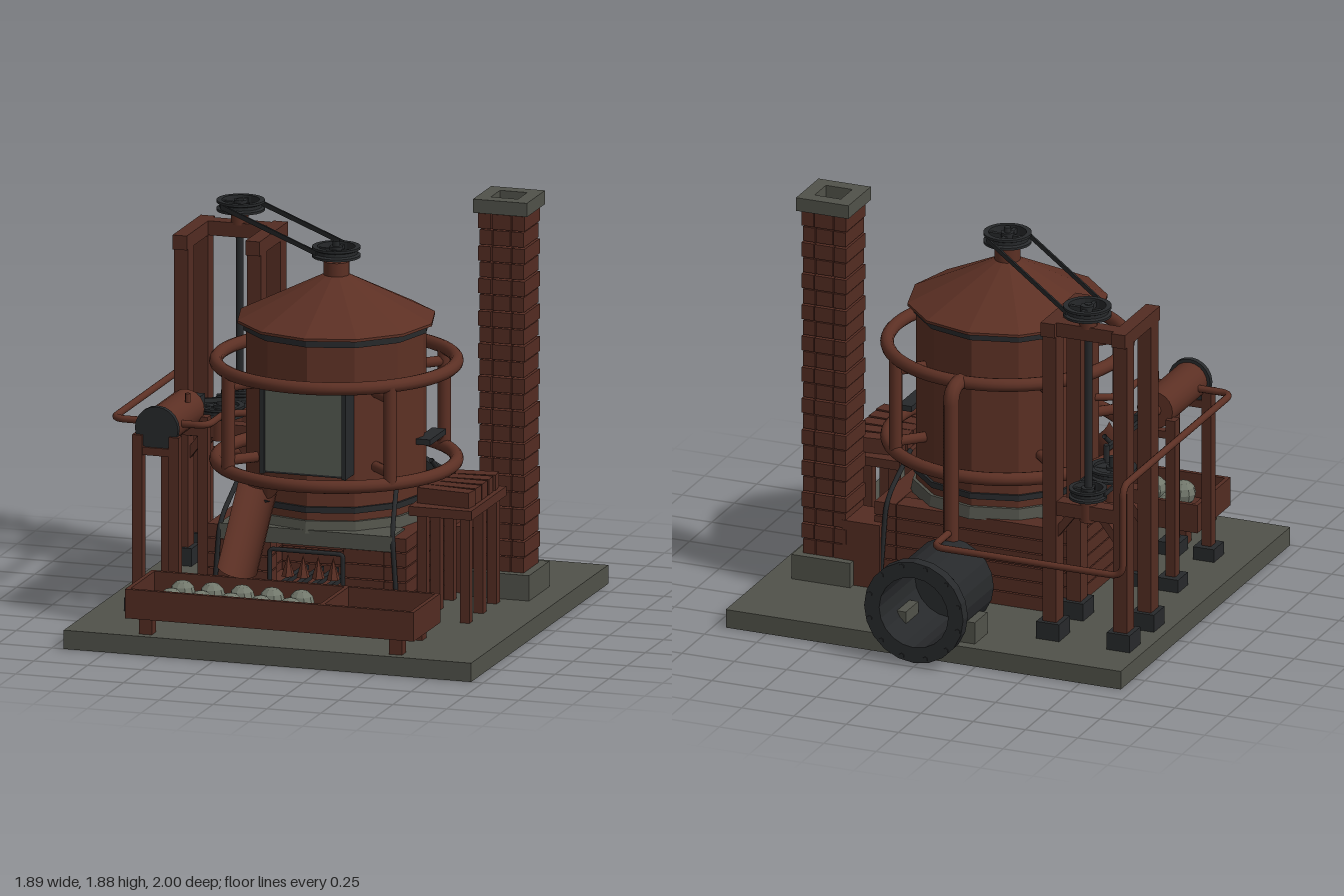
import * as THREE from 'three';

const mat = (name, color, double) => {
  const m = new THREE.MeshStandardMaterial({ color });
  m.name = name;
  if (double) m.side = THREE.DoubleSide;
  return m;
};
const V = (x, y, z) => new THREE.Vector3(x, y, z);

export function createModel() {
  const root = new THREE.Group();
  root.name = 'steamWorks';
  const copper = mat('copper', 0x5c3024, true), brick = mat('brick', 0x542c22), wood = mat('wood', 0x532c22);
  const iron = mat('iron', 0x27292b, true), stone = mat('stone', 0x51524a), panelGrey = mat('panelGrey', 0x545950);
  const pale = mat('paleStone', 0x72786c);

  const add = (name, geo, m, x = 0, y = 0, z = 0) => {
    const o = new THREE.Mesh(geo, m);
    o.name = name;
    o.position.set(x, y, z);
    root.add(o);
    return o;
  };
  // box given by its limits on each axis
  const box = (name, m, x0, x1, y0, y1, z0, z1) =>
    add(name, new THREE.BoxGeometry(x1 - x0, y1 - y0, z1 - z0), m, (x0 + x1) / 2, (y0 + y1) / 2, (z0 + z1) / 2);
  const flat = (g) => { const f = g.toNonIndexed(); f.computeVertexNormals(); return f; };
  // upright cylinder from y0 to y1
  const cyl = (name, m, r0, r1, y0, y1, x, z, n = 16) =>
    add(name, new THREE.CylinderGeometry(r1, r0, y1 - y0, n), m, x, (y0 + y1) / 2, z);
  // square bar between two points
  const bar = (name, m, a, b, w, h = w) => {
    const o = add(name, new THREE.BoxGeometry(w, h, a.distanceTo(b)), m);
    o.position.copy(a).lerp(b, 0.5);
    o.lookAt(b);
    return o;
  };
  // pipe through points with rounded corners
  const pipe = (name, m, pts, r, bend = 0.06) => {
    const path = new THREE.CurvePath();
    let last = pts[0];
    for (let i = 1; i < pts.length - 1; i++) {
      const p = pts[i];
      const a = p.clone().add(pts[i - 1].clone().sub(p).setLength(bend));
      const b = p.clone().add(pts[i + 1].clone().sub(p).setLength(bend));
      path.add(new THREE.LineCurve3(last, a));
      path.add(new THREE.QuadraticBezierCurve3(a, p, b));
      last = b;
    }
    path.add(new THREE.LineCurve3(last, pts[pts.length - 1]));
    return add(name, new THREE.TubeGeometry(path, pts.length > 2 ? 40 * pts.length : 1, r, 10), m);
  };
  // grooved, spoked wheel lying flat
  const pulley = (name, x, y, z, R, h) => {
    const prof = [[0.78, -1], [1, -1], [1, -0.55], [0.88, -0.3], [0.88, 0.3], [1, 0.55], [1, 1], [0.78, 1], [0.78, -1]];
    add(name + 'Rim', flat(new THREE.LatheGeometry(prof.map(([r, v]) => new THREE.Vector2(r * R, v * h)), 24)), iron, x, y, z);
    box(name + 'Spoke', iron, x - R * 0.8, x + R * 0.8, y - h * 0.5, y + h * 0.5, z - 0.009, z + 0.009);
    box(name + 'Spoke', iron, x - 0.009, x + 0.009, y - h * 0.5, y + h * 0.5, z - R * 0.8, z + R * 0.8);
    cyl(name + 'Hub', iron, 0.03, 0.03, y - h, y + h, x, z, 12);
  };
  const belt = (name, a, b, r) => {
    const d = b.clone().sub(a).normalize();
    const n = V(-d.z, 0, d.x).multiplyScalar(r);
    for (const s of [-1, 1])
      bar(name, iron, a.clone().addScaledVector(n, s), b.clone().addScaledVector(n, s), 0.008, 0.022);
  };

  const G = 0.085; // ground slab top
  box('groundSlab', stone, -0.945, 0.945, 0, G, -0.89, 1);

  // Brick firebox with a front opening
  for (let i = 0; i < 6; i++) {
    const y0 = G + i * 0.067, y1 = y0 + 0.061;
    for (const s of [-1, 1]) {
      box('fireboxSideCourse', brick, s * 0.41 - 0.05, s * 0.41 + 0.05, y0, y1, -0.36, 0.46);
      if (i < 5) box('fireboxFrontCourse', brick, s * 0.263 - 0.093, s * 0.263 + 0.093, y0, y1, 0.36, 0.455);
    }
    box('fireboxBackCourse', brick, -0.356, 0.356, y0, y1, -0.36, -0.26);
  }
  box('fireboxLintel', stone, -0.4, 0.4, 0.42, 0.49, 0.3, 0.475);
  box('fireboxFloor', brick, -0.36, 0.36, G, 0.11, -0.26, 0.45);
  for (let i = 0; i < 5; i++) {
    const x = -0.14 + i * 0.07;
    box('grateBar', iron, x - 0.012, x + 0.012, 0.2, 0.222, 0.05, 0.46);
    add('ember', flat(new THREE.ConeGeometry(0.03, 0.1, 6)), copper, x, 0.28, 0.3);
  }
  pipe('grateFrame', iron, [V(-0.17, G, 0.465), V(-0.17, 0.39, 0.465), V(0.17, 0.39, 0.465), V(0.17, G, 0.465)], 0.01, 0.02);
  box('flue', brick, 0.42, 0.6, G, 0.385, -0.4, -0.2);

  // Drum, roof and neck
  const CZ = 0.05;
  const facet = (name, m, r0, r1, y0, y1) => {
    const o = cyl(name, m, r0, r1, y0, y1, 0, CZ, 12);
    o.geometry = flat(o.geometry);
  };
  facet('drumSeat', stone, 0.43, 0.42, 0.475, 0.53);
  facet('drum', copper, 0.405, 0.405, 0.52, 1.36);
  facet('lowerBand', iron, 0.417, 0.417, 0.565, 0.592);
  facet('upperBand', iron, 0.417, 0.417, 1.315, 1.345);
  facet('roofRim', copper, 0.443, 0.443, 1.348, 1.36);
  facet('roof', copper, 0.443, 0.057, 1.36, 1.55);
  cyl('neck', copper, 0.057, 0.057, 1.54, 1.61, 0, CZ);
  cyl('neckShaft', iron, 0.016, 0.016, 1.6, 1.7, 0, CZ, 10);
  for (const sx of [-1, 1]) for (const sz of [-1, 1])
    pipe('drumLeg', iron, [V(sx * 0.36, 0.68, CZ + sz * 0.24), V(sx * 0.4, 0.5, CZ + sz * 0.42), V(sx * 0.43, G, CZ + sz * 0.425)], 0.011, 0.08);

  // Framed front panel
  box('panelBack', iron, -0.2, 0.2, 0.74, 1.14, 0.4, 0.49);
  box('panelFace', panelGrey, -0.18, 0.18, 0.75, 1.13, 0.488, 0.496);
  for (const s of [-1, 1]) box('panelSide', iron, s * 0.19 - 0.01, s * 0.19 + 0.01, 0.74, 1.14, 0.44, 0.515);
  box('panelTop', iron, -0.2, 0.2, 1.125, 1.14, 0.44, 0.515);
  box('sideLatch', iron, 0.39, 0.455, 0.822, 0.848, -0.11, 0.11);

  // Ring pipes with uprights and stubs
  for (const y of [1.16, 0.715]) {
    add('ringPipe', new THREE.TorusGeometry(0.53, 0.03, 12, 64), copper, 0, y, CZ).rotation.x = Math.PI / 2;
    for (let k = 0; k < 4; k++) {
      const a = Math.PI / 4 + k * Math.PI / 2, c = Math.cos(a), s = Math.sin(a);
      const yy = y > 1 ? 1.1 : 0.765;
      pipe('ringStub', copper, [V(c * 0.36, yy, CZ + s * 0.36), V(c * 0.53, yy, CZ + s * 0.53)], 0.024);
      if (y > 1) cyl('ringUpright', copper, 0.03, 0.03, 0.715, 1.16, c * 0.53, CZ + s * 0.53, 12);
    }
  }

  // Boiler with open flanged end
  const BY = 0.255;
  const boilerProfile = [[0, -0.47], [0.13, -0.47], [0.2, -0.57], [0.2, -0.945], [0.237, -0.945], [0.237, -0.998], [0.165, -0.998], [0.165, -0.6], [0, -0.6]];
  add('boiler', flat(new THREE.LatheGeometry(boilerProfile.map(([r, z]) => new THREE.Vector2(r, z)), 20)), iron, 0, BY, 0).rotation.x = Math.PI / 2;
  for (let k = 0; k < 12; k++) {
    const a = (k + 0.5) * Math.PI / 6;
    add('flangeBolt', new THREE.CylinderGeometry(0.012, 0.012, 0.07, 6), iron, Math.cos(a) * 0.218, BY + Math.sin(a) * 0.218, -0.968).rotation.x = Math.PI / 2;
  }
  for (const s of [-1, 1]) box('boilerCradle', stone, s * 0.165 - 0.06, s * 0.165 + 0.06, G, 0.185, -0.84, -0.7);
  pipe('mainSteamPipe', copper, [V(0, 1.16, -0.47), V(0, 1.16, -0.58), V(0, 0.42, -0.58)], 0.035, 0.07);
  pipe('feedPipe', copper, [V(0, 0.49, -0.58), V(0, 0.49, -0.785), V(-0.91, 0.49, -0.785), V(-0.91, 0.915, -0.785), V(-0.91, 0.915, 0.43), V(-0.68, 0.915, 0.43)], 0.016);
  pipe('exhaustPipe', copper, [V(-0.62, 0.915, 0.43), V(-0.47, 0.915, 0.43), V(-0.47, 0.915, 0.2), V(-0.37, 0.915, 0.15)], 0.016);

  // Chimney of stacked brick courses, hollow inside
  const HX = 0.685, HZ = -0.295;
  const square = (name, m, y0, y1, h, t, gap) => {
    for (const s of [-1, 1]) {
      const c = s * (h - t / 2), w = h - t - gap;
      box(name, m, HX + c - t / 2, HX + c + t / 2, y0, y1, HZ - h, HZ + h);
      box(name, m, HX - w, HX + w, y0, y1, HZ + c - t / 2, HZ + c + t / 2);
    }
  };
  square('chimneyFoot', stone, G, 0.2, 0.14, 0.075, 0);
  for (let i = 0; i < 22; i++) square('chimneyCourse', brick, 0.2 + i * 0.0737, 0.267 + i * 0.0737, i % 2 ? 0.107 : 0.102, 0.058, 0.005);
  square('chimneyCap', stone, 1.82, 1.882, 0.125, 0.062, 0);

  // Timber drive frame
  const EX = -0.67, Z1 = -0.61, Z2 = -0.34;
  for (const x of [-0.838, -0.5]) {
    for (const z of [Z1, Z2]) {
      box('framePost', wood, x - 0.033, x + 0.033, 0.15, 1.52, z - 0.04, z + 0.04);
      box('frameFoot', iron, x - 0.055, x + 0.055, G, 0.165, z - 0.06, z + 0.06);
      const s = x < EX ? 1 : -1;
      bar('frameBrace', wood, V(x, 0.55, z), V(x + s * 0.1, 0.68, z), 0.035);
    }
    box('frameTopRail', wood, x - 0.033, x + 0.033, 1.515, 1.58, -0.67, -0.28);
  }
  for (const z of [Z1, Z2]) {
    box('frameMidBeam', wood, -0.87, -0.467, 0.67, 0.735, z - 0.035, z + 0.035);
    cyl('bearing', copper, 0.04, 0.04, 0.655, 0.755, EX, z, 12);
  }
  box('frameTopBeam', wood, -0.805, -0.533, 1.515, 1.58, Z1 - 0.035, Z1 + 0.035);
  cyl('topBearing', copper, 0.04, 0.04, 1.57, 1.62, EX, Z1, 12);
  cyl('driveShaft', iron, 0.017, 0.017, 0.7, 1.68, EX, Z1, 10);
  cyl('crankShaft', iron, 0.017, 0.017, 0.7, 0.86, EX, Z2, 10);

  // Wheels and belts
  pulley('drumPulley', 0, 1.653, CZ, 0.107, 0.024);
  pulley('drivePulley', EX, 1.653, -0.622, 0.107, 0.024);
  belt('upperBelt', V(EX, 1.653, -0.622), V(0, 1.653, CZ), 0.096);
  pulley('lowerPulley', EX, 0.79, -0.615, 0.085, 0.024);
  pulley('flywheel', EX, 0.79, Z2, 0.108, 0.024);
  belt('lowerBelt', V(EX, 0.79, -0.615), V(EX, 0.79, Z2), 0.077);
  cyl('flywheelDisc', iron, 0.088, 0.088, 0.78, 0.8, EX, Z2, 20);

  // Horizontal engine cylinder on posts
  const along = (name, m, r, z0, z1, n = 20) => {
    add(name, new THREE.CylinderGeometry(r, r, z1 - z0, n), m, EX, 0.91, (z0 + z1) / 2).rotation.x = Math.PI / 2;
  };
  along('engineCylinder', copper, 0.085, 0.13, 0.52);
  along('engineFrontCap', iron, 0.1, 0.515, 0.54);
  along('engineGland', copper, 0.03, 0.05, 0.14, 12);
  along('pistonRod', iron, 0.012, 0, 0.15, 8);
  box('crosshead', iron, EX - 0.033, EX + 0.033, 0.88, 0.94, -0.03, 0.03);
  bar('connectingRod', iron, V(EX, 0.91, 0), V(-0.61, 0.86, -0.27), 0.02);
  cyl('crankPin', iron, 0.014, 0.014, 0.79, 0.88, -0.61, -0.27, 8);
  cyl('valveStem', copper, 0.012, 0.012, 0.98, 1.02, -0.605, 0.3, 8);
  for (const z of [0.13, 0.53]) {
    for (const x of [-0.755, -0.585]) {
      box('enginePost', wood, x - 0.023, x + 0.023, 0.14, 0.88, z - 0.025, z + 0.025);
      box('engineFoot', iron, x - 0.05, x + 0.05, G, 0.145, z - 0.055, z + 0.055);
    }
    box('engineCrossbar', wood, -0.755, -0.585, 0.79, 0.825, z - 0.02, z + 0.02);
  }

  // Delivery chute
  const chute = add('chute', new THREE.CylinderGeometry(0.092, 0.092, 0.45, 12, 1, true, Math.PI / 2, Math.PI), copper, -0.23, 0.525, 0.585);
  chute.rotation.x = -Math.atan2(0.29, 0.32);

  // Sorting tray with pale lumps and iron blocks
  box('trayFloor', wood, -0.67, 0.67, 0.155, 0.175, 0.605, 0.975);
  for (const z of [0.605, 0.955]) box('trayWall', wood, -0.67, 0.67, 0.155, 0.287, z, z + 0.02);
  for (const x of [-0.67, 0.23, 0.65]) box('trayEnd', wood, x, x + 0.02, 0.155, 0.287, 0.605, 0.975);
  for (const x of [-0.58, 0.58]) for (const z of [0.65, 0.93]) box('trayLeg', wood, x - 0.03, x + 0.03, G, 0.16, z - 0.03, z + 0.03);
  for (let i = 0; i < 5; i++) for (const z of [0.715, 0.87])
    add('paleLump', flat(new THREE.SphereGeometry(0.057, 9, 6)), pale, -0.49 + i * 0.138, 0.225, z);
  for (const x of [0.36, 0.443, 0.525]) box('ironBlock', iron, x - 0.03, x + 0.03, 0.17, 0.21, 0.73, 0.84);

  // Side table with bricks laid out
  box('tableTop', wood, 0.43, 0.72, 0.555, 0.597, -0.155, 0.33);
  for (const x of [0.485, 0.685]) for (const z of [-0.08, 0.105, 0.295]) box('tableLeg', wood, x - 0.022, x + 0.022, G, 0.56, z - 0.022, z + 0.022);
  for (let i = 0; i < 5; i++)
    add('looseBrick', new THREE.BoxGeometry(0.25, 0.07, 0.07), brick, 0.575, 0.634, -0.075 + i * 0.08).rotation.y = (i - 2) * -0.06;

  return root;
}
